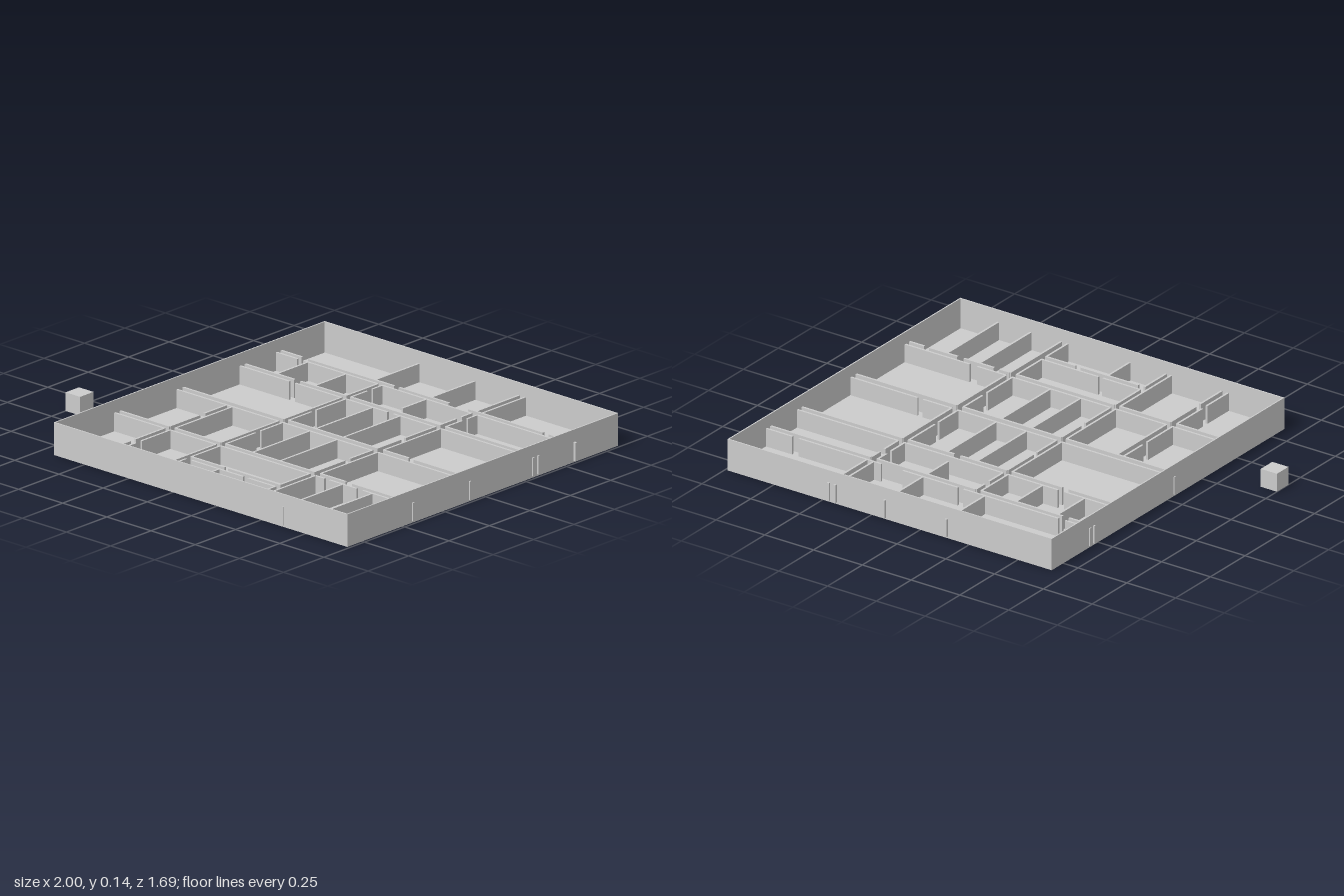
import * as THREE from 'three';

const material = new THREE.MeshStandardMaterial({ color: 0xcccccc, flatShading: true });

// Outer shell limits, wall thicknesses and heights
const X0 = -0.674, X1 = 0.988, Z0 = -0.833, Z1 = 0.842;
const SHELL = 0.006, SHELL_TOP = 0.145, FLOOR = 0.008;
const WALL = 0.01, WALL_TOP = 0.09;
const OUT = 0.994; // right end of partitions that break through the shell

// Box given by its minimum and maximum corners
function block(parent, name, x0, x1, y0, y1, z0, z1) {
  const mesh = new THREE.Mesh(new THREE.BoxGeometry(x1 - x0, y1 - y0, z1 - z0), material);
  mesh.position.set((x0 + x1) / 2, (y0 + y1) / 2, (z0 + z1) / 2);
  mesh.name = name;
  parent.add(mesh);
}

// Partitions running along x: [z, [x start, x end], ...]; gaps are doorways
const crossPartitions = [
  [-0.56, [-0.68, -0.55], [-0.515, -0.028], [0, 0.283], [0.393, 0.815], [0.848, 1]],
  [-0.53, [-0.68, -0.548], [-0.515, -0.097], [-0.07, 0.437], [0.467, X1]],
  [-0.337, [X0, -0.388], [-0.355, -0.095], [-0.07, 0.437], [0.467, OUT]],
  [-0.305, [X0, -0.388], [-0.355, -0.095], [-0.07, 0.168], [0.2, 0.437], [0.467, OUT]],
  [0.048, [-0.68, -0.095], [-0.07, 0.437], [0.467, 0.612], [0.639, X1]],
  [0.085, [X0, -0.095], [-0.07, 0.437], [0.467, OUT]],
  [0.438, [X0, -0.386], [-0.357, -0.095], [-0.07, 0.437], [0.467, 0.612], [0.65, OUT]],
  [0.47, [X0, -0.386], [-0.357, -0.095], [-0.07, 0.437], [0.467, 0.521], [0.548, 0.703],
    [0.735, 0.88], [0.906, 0.982]],
  [0.65, [-0.07, 0.12], [0.142, 0.437]],
  [0.682, [-0.04, 0.254], [0.281, 0.437]],
];

// Lengths shared by the partitions running along z, one set per band of rooms
const back = [[-0.843, -0.56]];
const second = [[-0.53, -0.337]];
const secondDoor = [[-0.53, -0.468], [-0.436, -0.337]];
const third = [[-0.305, 0.048]];
const thirdDoor = [[-0.305, -0.12], [-0.093, 0.048]];
const fourth = [[0.085, 0.438]];
const fourthDoor = [[0.085, 0.222], [0.254, 0.438]];
const front = [[0.47, Z1]];
const frontDoor = [[0.47, 0.65], [0.682, Z1]];

// Partitions running along z: [x, ...spans]
const longPartitions = [
  [-0.49, ...second],
  [-0.388, ...fourthDoor, ...frontDoor],
  [-0.355, ...fourth, ...frontDoor],
  [-0.275, ...second],
  [-0.137, ...back],
  [-0.097, ...second, ...third, ...fourth, ...front],
  [-0.07, ...secondDoor, ...thirdDoor, ...fourthDoor, ...frontDoor],
  [0.083, ...third, ...fourth],
  [0.117, [0.682, Z1]],
  [0.18, ...back, [-0.53, -0.38]],
  [0.238, ...third, ...fourth],
  [0.433, ...back, ...secondDoor, ...thirdDoor, ...fourthDoor, ...frontDoor],
  [0.467, ...back, ...secondDoor, ...third, ...fourth, ...front],
  [0.623, [0.47, 0.845]],
  [0.79, ...front],
];

export function createModel() {
  const model = new THREE.Group();
  model.name = 'floorPlan';

  // Floor and outer shell
  const shell = new THREE.Group();
  shell.name = 'outerShell';
  block(shell, 'floor', X0, X1, 0, FLOOR, Z0, Z1);
  block(shell, 'backWall', X0, X1, FLOOR, SHELL_TOP, Z0, Z0 + SHELL);
  block(shell, 'frontWall', X0, X1, FLOOR, SHELL_TOP, Z1 - SHELL, Z1);
  block(shell, 'rightWall', X0, X0 + SHELL, FLOOR, SHELL_TOP, Z0 + SHELL, Z1 - SHELL);
  block(shell, 'leftWall', X1 - SHELL, X1, FLOOR, SHELL_TOP, Z0 + SHELL, Z1 - SHELL);
  model.add(shell);

  // Room partitions, lower than the shell
  const partitions = new THREE.Group();
  partitions.name = 'partitions';
  for (const [z, ...spans] of crossPartitions) {
    for (const [a, b] of spans) {
      block(partitions, 'crossPartition', a, b, FLOOR, WALL_TOP, z - WALL / 2, z + WALL / 2);
    }
  }
  for (const [x, ...spans] of longPartitions) {
    for (const [a, b] of spans) {
      block(partitions, 'longPartition', x - WALL / 2, x + WALL / 2, FLOOR, WALL_TOP, a, b);
    }
  }
  model.add(partitions);

  // Separate cube standing beside the building
  block(model, 'looseCube', -1, -0.917, 0, 0.083, 0.33, 0.413);

  return model;
}
